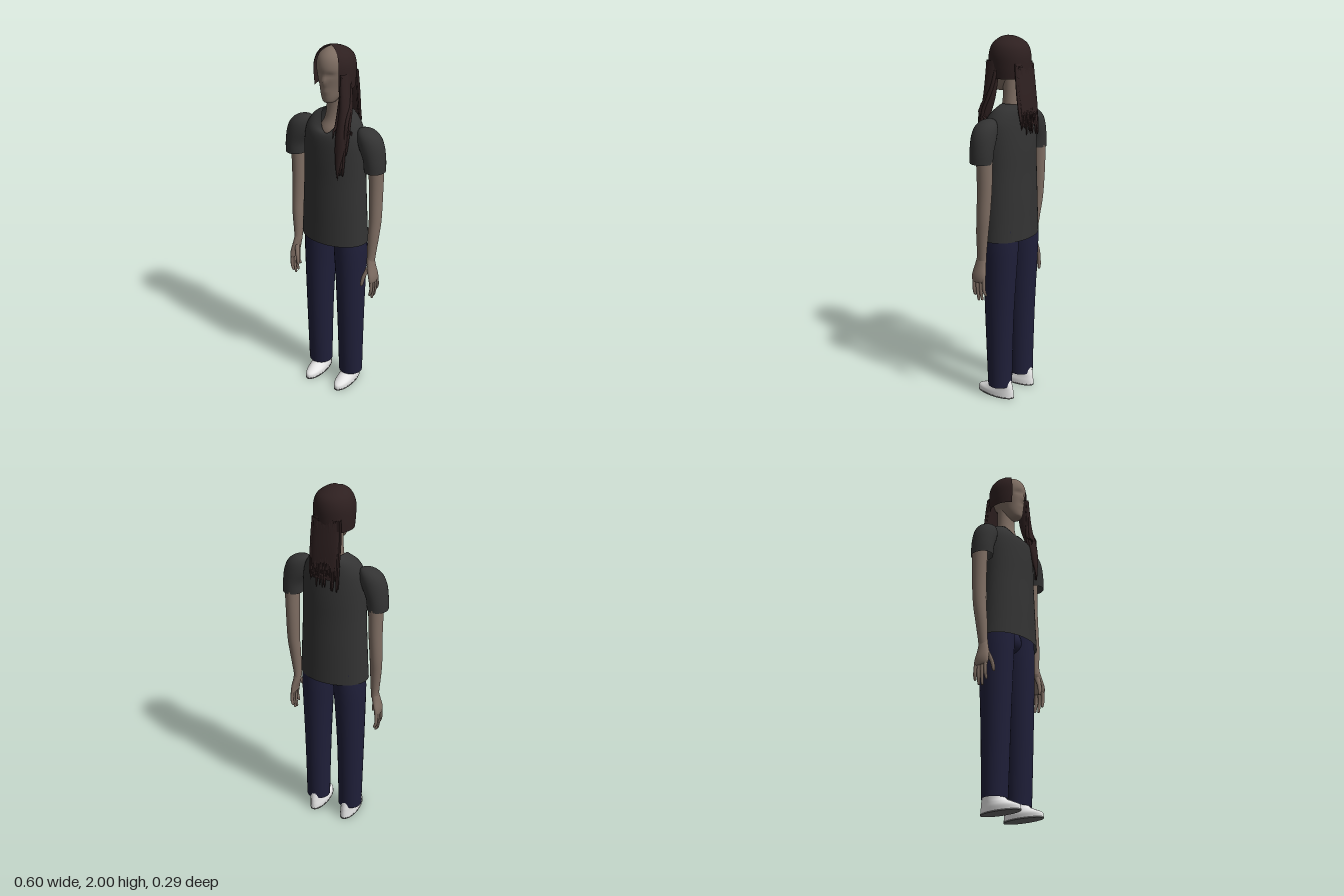
import * as THREE from 'three';

const mat = (name, color, side = THREE.FrontSide) => {
  const m = new THREE.MeshStandardMaterial({ color, side });
  m.name = name;
  return m;
};

// Smooth skin over horizontal oval rings [x, y, z, rx, rz], listed bottom to top
function loft(rings, { seg = 28, sub = 5, from = 0, arc = Math.PI * 2, warp } = {}) {
  const closed = arc > 6.28;
  const cols = closed ? seg : seg + 1;
  const mid = new THREE.CatmullRomCurve3(rings.map(r => new THREE.Vector3(r[0], r[1], r[2])), false, 'catmullrom');
  const size = new THREE.CatmullRomCurve3(rings.map(r => new THREE.Vector3(r[3], r[4], 0)), false, 'catmullrom');
  const rows = (rings.length - 1) * sub;
  const lo = rings[0][1], hi = rings[rings.length - 1][1];
  const pos = [], index = [];
  for (let i = 0; i <= rows; i++) {
    const c = mid.getPoint(i / rows), s = size.getPoint(i / rows);
    for (let j = 0; j < cols; j++) {
      const a = from + arc * j / seg;
      const p = new THREE.Vector3(
        c.x + Math.max(0, s.x) * Math.cos(a),
        THREE.MathUtils.clamp(c.y, lo, hi),
        c.z + Math.max(0, s.y) * Math.sin(a));
      if (warp) warp(p, a);
      pos.push(p.x, p.y, p.z);
    }
  }
  for (let i = 0; i < rows; i++) {
    for (let j = 0; j < seg; j++) {
      const a = i * cols + j, b = i * cols + (j + 1) % cols;
      index.push(a, a + cols, b, b, a + cols, b + cols);
    }
  }
  const g = new THREE.BufferGeometry();
  g.setAttribute('position', new THREE.Float32BufferAttribute(pos, 3));
  g.setIndex(index);
  g.computeVertexNormals();
  return g;
}

export function createModel() {
  const model = new THREE.Group();
  model.name = 'standingFigure';
  const skin = mat('skin', 0x7f6e63);
  const cloth = mat('charcoalShirt', 0x333333, THREE.DoubleSide);
  const denim = mat('navyTrousers', 0x1f1f39, THREE.DoubleSide);
  const hair = mat('darkBrownHair', 0x2e2020, THREE.DoubleSide);
  const white = mat('whiteShoe', 0xf2f2f2);
  const rubber = mat('greySole', 0x6a6a6a);
  const add = (name, geo, material, parent = model) => {
    const m = new THREE.Mesh(geo, material);
    m.name = name;
    parent.add(m);
    return m;
  };
  let seed = 7;
  const rand = () => (seed = (seed * 16807) % 2147483647) / 2147483647;

  // Head with a soft brow, eye hollows and nose
  add('head', loft([
    [0, 1.715, 0.05, 0, 0], [0, 1.722, 0.05, 0.028, 0.034], [0, 1.75, 0.035, 0.046, 0.06],
    [0, 1.80, 0.013, 0.062, 0.086], [0, 1.86, 0.005, 0.079, 0.1], [0, 1.91, 0.005, 0.084, 0.104],
    [0, 1.955, 0.003, 0.074, 0.092], [0, 1.985, 0.005, 0.04, 0.055], [0, 1.993, 0.01, 0, 0],
  ], {
    seg: 48, warp: p => {
      if (p.z < 0.04) return;
      const bump = (x, y, w, h) => Math.exp(-(((p.x - x) / w) ** 2) - ((p.y - y) / h) ** 2);
      p.z += 0.014 * bump(0, 1.837, 0.012, 0.022) + 0.004 * bump(0, 1.785, 0.024, 0.012)
        - 0.007 * (bump(0.032, 1.872, 0.02, 0.012) + bump(-0.032, 1.872, 0.02, 0.012));
    },
  }), skin);
  add('neck', loft([
    [0, 1.48, 0, 0.10, 0.085], [0, 1.56, 0, 0.085, 0.076], [0, 1.62, -0.012, 0.06, 0.056],
    [0, 1.70, -0.015, 0.052, 0.046], [0, 1.82, -0.015, 0.052, 0.05],
  ]), skin);

  // Shirt body, with a neckline scooped at the front
  add('shirtBody', loft([
    [0, 0.938, 0, 0.195, 0.133], [0, 1.02, 0, 0.19, 0.131], [0, 1.16, 0, 0.183, 0.128],
    [0, 1.30, 0, 0.177, 0.124], [0, 1.42, 0, 0.175, 0.123], [0, 1.51, 0, 0.171, 0.119],
    [0, 1.575, -0.002, 0.157, 0.112], [0, 1.63, -0.006, 0.12, 0.103], [0, 1.66, -0.008, 0.066, 0.093],
  ], {
    seg: 48, warp: (p, a) => {
      const up = THREE.MathUtils.clamp((p.y - 1.5) / 0.16, 0, 1);
      p.y -= 0.1 * up * up * Math.max(0, Math.sin(a)) ** 2;
    },
  }), cloth);

  // Hips
  const hips = add('hips', new THREE.SphereGeometry(1, 24, 16), denim);
  hips.scale.set(0.07, 0.07, 0.075);
  hips.position.set(0, 0.95, 0);

  // Paired limbs: s = 1 is the left side, s = -1 the right
  for (const s of [1, -1]) {
    const side = s > 0 ? 'left' : 'right';
    const limb = (name, rings, material, opt) =>
      add(side + name, loft(rings.map(r => [r[0] * s, ...r.slice(1)]), opt), material);

    limb('Sleeve', [
      [0.244, 1.38, 0.003, 0.055, 0.062], [0.24, 1.44, 0.003, 0.057, 0.065], [0.221, 1.51, 0.003, 0.067, 0.066],
      [0.205, 1.56, 0.002, 0.061, 0.058], [0.188, 1.59, 0, 0.04, 0.036], [0.175, 1.602, 0, 0, 0],
    ], cloth);
    limb('Arm', [
      [0.236, 0.84, 0.014, 0.02, 0.028], [0.238, 0.89, 0.01, 0.023, 0.027], [0.243, 1.0, 0.002, 0.03, 0.033],
      [0.246, 1.1, -0.008, 0.033, 0.037], [0.243, 1.25, -0.015, 0.036, 0.041], [0.242, 1.42, -0.015, 0.04, 0.045],
    ], skin);

    // Hand: palm, four fingers and a thumb
    limb('Palm', [
      [0.259, 0.728, 0.018, 0, 0], [0.259, 0.735, 0.018, 0.013, 0.038], [0.255, 0.77, 0.018, 0.018, 0.043],
      [0.243, 0.82, 0.017, 0.02, 0.034], [0.236, 0.87, 0.013, 0.018, 0.025],
    ], skin);
    [[0.045, 0.648, 0.047], [0.026, 0.622, 0.022], [0.005, 0.628, 0], [-0.015, 0.655, -0.024]].forEach(([z, tip, zt], i) =>
      limb('Finger' + (i + 1), [
        [0.252, tip, zt, 0, 0], [0.253, tip + 0.008, zt, 0.007, 0.007],
        [0.261, 0.69, (z + zt) / 2, 0.009, 0.0095], [0.258, 0.755, z, 0.01, 0.011],
      ], skin, { seg: 10, sub: 4 }));
    limb('Thumb', [
      [0.208, 0.705, 0.06, 0, 0], [0.209, 0.713, 0.06, 0.008, 0.008],
      [0.217, 0.76, 0.054, 0.011, 0.011], [0.235, 0.82, 0.03, 0.013, 0.016],
    ], skin, { seg: 12 });

    limb('TrouserLeg', [
      [0.103, 0.072, -0.007, 0.068, 0.067], [0.103, 0.25, -0.005, 0.07, 0.073], [0.102, 0.5, -0.004, 0.075, 0.082],
      [0.099, 0.72, -0.006, 0.082, 0.092], [0.095, 0.88, -0.008, 0.088, 0.099], [0.09, 1.0, -0.008, 0.085, 0.1],
    ], denim);
    limb('Shoe', [
      [0.098, 0.006, 0.025, 0.047, 0.119], [0.098, 0.03, 0.023, 0.047, 0.115], [0.099, 0.05, 0.004, 0.043, 0.093],
      [0.1, 0.07, -0.013, 0.04, 0.072], [0.101, 0.11, -0.018, 0.038, 0.055],
    ], white);
    const sole = add(side + 'Sole', new THREE.CylinderGeometry(1, 1, 0.008, 32), rubber);
    sole.scale.set(0.048, 1, 0.12);
    sole.position.set(0.098 * s, 0.004, 0.025);
  }

  // Hair cap, parted open over the face
  const gap = THREE.MathUtils.degToRad(43);
  add('hairCap', loft([
    [0, 1.79, 0, 0.1, 0.106], [0, 1.85, 0, 0.105, 0.111], [0, 1.91, 0, 0.105, 0.111], [0, 1.955, 0, 0.09, 0.096],
    [-0.003, 1.982, 0.005, 0.062, 0.066], [-0.006, 1.996, 0.013, 0.03, 0.032], [-0.01, 2.0, 0.02, 0, 0],
  ], { seg: 44, from: Math.PI / 2 + gap, arc: Math.PI * 2 - 2 * gap }), hair);

  // Long lock over the left shoulder
  const frontLock = new THREE.Group();
  frontLock.name = 'frontLock';
  model.add(frontLock);
  add('lockCore', loft([
    [0.095, 1.33, 0.128, 0, 0], [0.096, 1.43, 0.122, 0.016, 0.01], [0.1, 1.55, 0.1, 0.032, 0.024],
    [0.096, 1.7, 0.06, 0.025, 0.036], [0.086, 1.88, 0.042, 0.016, 0.042],
  ]), hair, frontLock);
  for (let i = 0; i < 26; i++) {
    const u = rand() * 2 - 1, v = rand(), r = 0.005 + 0.003 * rand();
    const tip = 1.32 + 0.25 * v, spread = 0.015 + 0.022 * v;
    const x = 0.098 + u * spread, z = 0.13 - 0.03 * Math.max(0, u) - 0.06 * v * rand();
    add('strand', loft([
      [x, tip, z, 0, 0], [x + 0.004, tip + 0.04, z, r, r],
      [0.1 + u * 0.034, 1.62, 0.085 + 0.03 * (rand() - 0.5), r * 1.3, r * 1.3],
      [0.098 + u * 0.02, 1.74, 0.055 - u * 0.025, r * 1.2, r * 1.3], [0.09, 1.87, 0.045 - u * 0.035, r, r],
    ], { seg: 7, sub: 4 }), hair, frontLock);
  }

  // Hair hanging down the back
  const backHair = new THREE.Group();
  backHair.name = 'backHair';
  model.add(backHair);
  add('backCore', loft([
    [0, 1.55, -0.13, 0.06, 0.003], [0, 1.62, -0.122, 0.068, 0.01],
    [0, 1.72, -0.11, 0.073, 0.014], [0, 1.87, -0.085, 0.075, 0.02],
  ]), hair, backHair);
  for (let i = 0; i < 24; i++) {
    const x = -0.078 + 0.156 * i / 23, tip = 1.48 + 0.1 * rand(), r = 0.005 + 0.002 * rand();
    const z = -0.136 + 0.012 * (x / 0.078) ** 2;
    add('strand', loft([
      [x * 1.02, tip, z, 0, 0], [x, tip + 0.03, z, r * 0.8, r * 0.8], [x, 1.64, z + 0.01, r, r],
      [x, 1.74, z + 0.022, r * 1.2, r], [x * 0.95, 1.86, z + 0.034, r, r],
    ], { seg: 7, sub: 4 }), hair, backHair);
  }
  return model;
}
